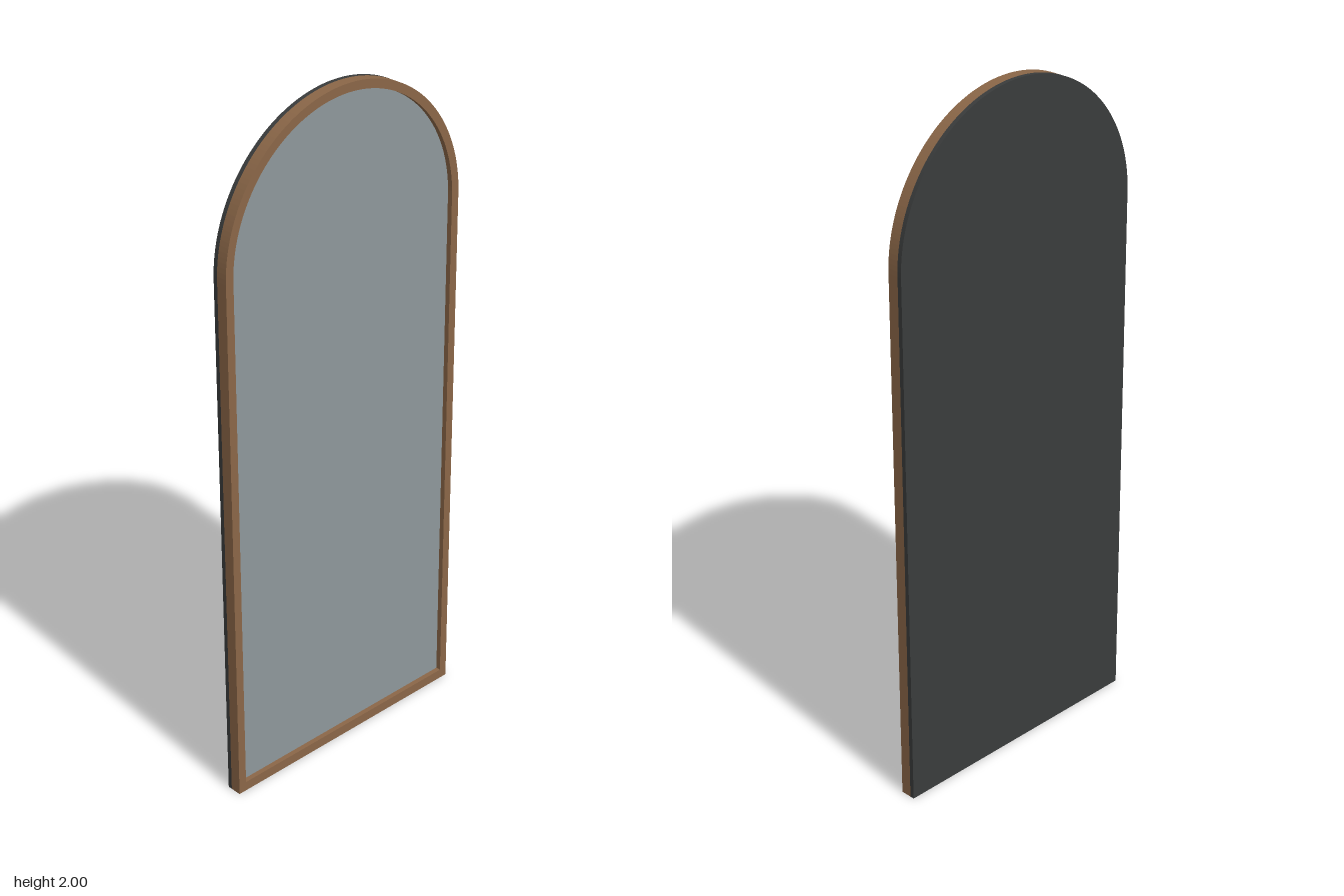
import * as THREE from 'three';

const HALF = 0.42;      // half width, also the arch radius
const SPRING = 1.58;    // height where the arch begins
const RIM = 0.025;      // width of the frame moulding
const FRONT = 0.023, BACK = -0.023, SEAM = -0.01, GLASS = 0.008;

// Arched outline, drawn inward from the outer edge by an inset
function arch(PathType, inset) {
  const r = HALF - inset;
  const p = new PathType();
  p.moveTo(-r, inset * 1.15);
  p.lineTo(r, inset * 1.15);
  p.lineTo(r, SPRING);
  p.absarc(0, SPRING, r, 0, Math.PI, false);
  p.closePath();
  return p;
}

// Flat slab of an outline between two depths
function slab(name, shape, z0, z1, material) {
  const geometry = new THREE.ExtrudeGeometry(shape, { depth: z1 - z0, bevelEnabled: false, curveSegments: 48 });
  geometry.translate(0, 0, z0);
  const mesh = new THREE.Mesh(geometry, material);
  mesh.name = name;
  return mesh;
}

export function createModel() {
  const wood = new THREE.MeshStandardMaterial({ color: 0x8b6748 });
  wood.name = 'brown wood';
  const glass = new THREE.MeshStandardMaterial({ color: 0x8f989b });
  glass.name = 'grey mirror glass';
  const board = new THREE.MeshStandardMaterial({ color: 0x3a3c3c });
  board.name = 'charcoal backing';

  const model = new THREE.Group();
  model.name = 'archedMirror';

  // Wooden moulding with an arched opening
  const frameShape = arch(THREE.Shape, 0);
  frameShape.holes.push(arch(THREE.Path, RIM));
  model.add(slab('frame', frameShape, SEAM, FRONT, wood));

  // Recessed mirror pane
  model.add(slab('mirrorPane', arch(THREE.Shape, RIM), SEAM, GLASS, glass));

  // Full-size backing board
  model.add(slab('backBoard', arch(THREE.Shape, 0), BACK, SEAM, board));

  return model;
}
